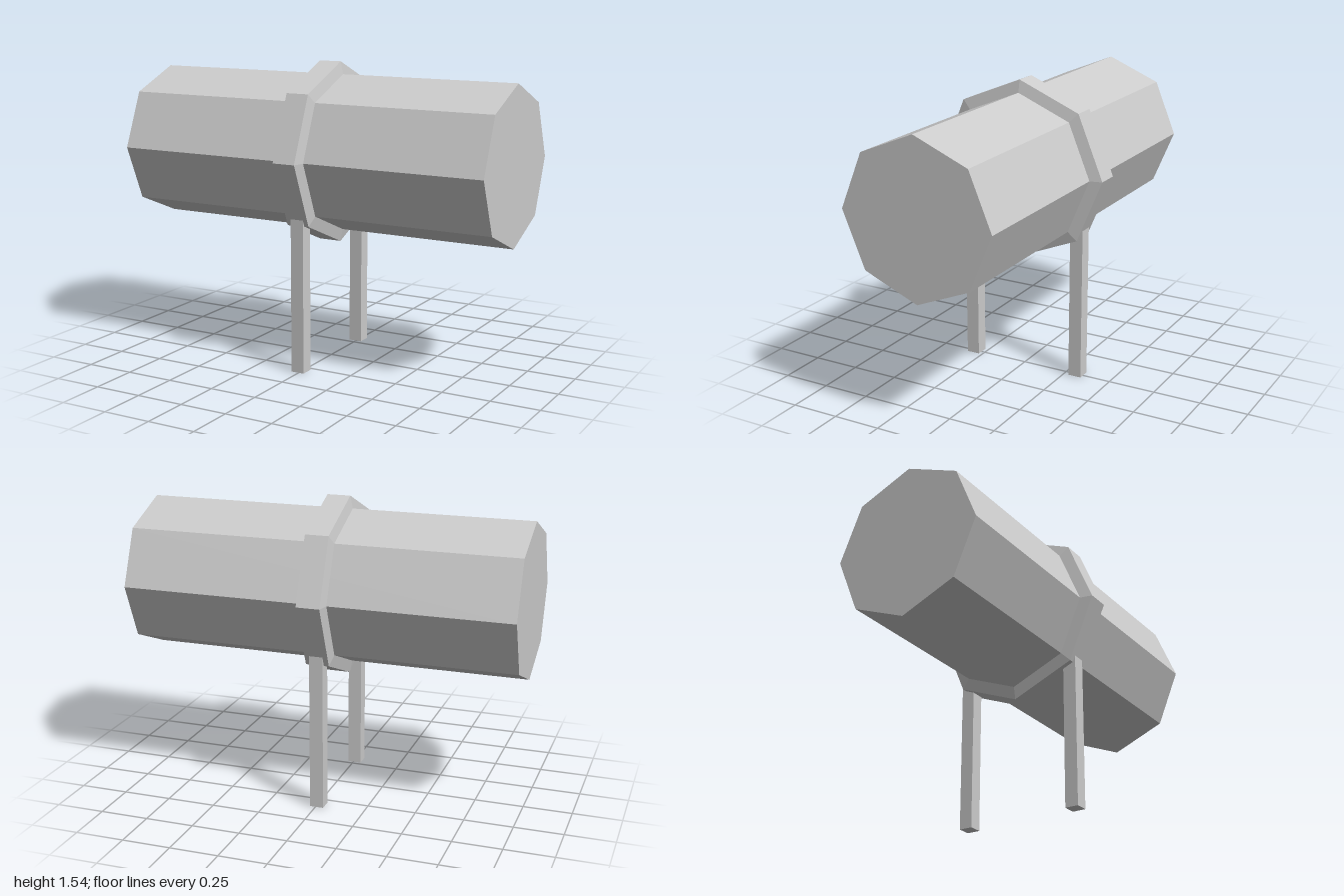
import * as THREE from 'three';

export function createModel() {
  const group = new THREE.Group();
  const grey = new THREE.MeshStandardMaterial({ color: 0xcccccc, flatShading: true });
  grey.name = 'light grey';
  const centreY = 1.083, radius = 0.398;

  const add = (name, geometry, x, y, z) => {
    const mesh = new THREE.Mesh(geometry, grey);
    mesh.name = name;
    mesh.position.set(x, y, z);
    group.add(mesh);
  };

  // Octagonal body lying along x
  add('body', new THREE.CylinderGeometry(radius, radius, 2, 8).rotateZ(-Math.PI / 2), 0, centreY, 0);

  // Tapered collar around the middle
  const profile = [[radius - 0.01, -0.074], [radius, -0.073], [0.462, -0.06], [0.462, 0.06], [radius, 0.073], [radius - 0.01, 0.074]]
    .map(([r, h]) => new THREE.Vector2(r, h));
  add('collar', new THREE.LatheGeometry(profile, 8).rotateZ(-Math.PI / 2), -0.007, centreY, 0);

  // Two square legs running up into the collar
  const legHeight = 0.82;
  for (const [name, z] of [['frontLeg', 0.305], ['backLeg', -0.312]]) {
    add(name, new THREE.BoxGeometry(0.07, legHeight, 0.07), -0.006, legHeight / 2, z);
  }
  return group;
}
